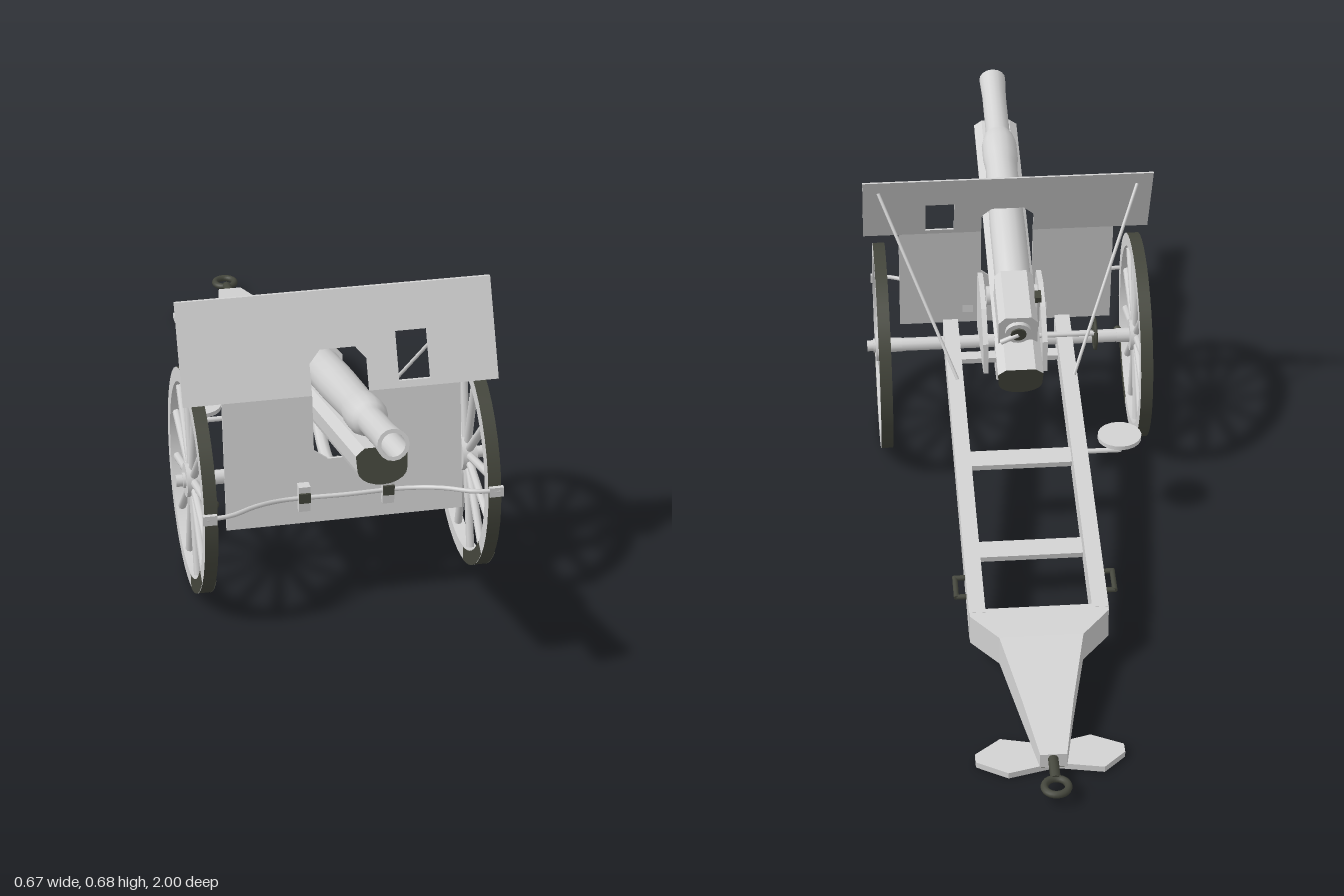
import * as THREE from 'three';

export function createModel() {
  const model = new THREE.Group();
  const grey = new THREE.MeshStandardMaterial({ color: 0xd2d2d2, side: THREE.DoubleSide });
  grey.name = 'light grey paint';
  const dark = new THREE.MeshStandardMaterial({ color: 0x44463c, side: THREE.DoubleSide });
  dark.name = 'dark olive';

  const add = (name, geo, mat = grey, parent = model, pos = [0, 0, 0]) => {
    const m = new THREE.Mesh(geo, mat);
    m.name = name;
    m.position.set(...pos);
    parent.add(m);
    return m;
  };
  const box = (name, size, pos, mat, parent) => add(name, new THREE.BoxGeometry(...size), mat, parent, pos);
  const V = p => new THREE.Vector3(...p);
  // Straight round bar between two points
  const bar = (name, a, b, r, mat, parent, sides = 10) => {
    const d = V(b).sub(V(a));
    const m = add(name, new THREE.CylinderGeometry(r, r, d.length(), sides), mat, parent);
    m.position.copy(V(a)).addScaledVector(d, 0.5);
    m.quaternion.setFromUnitVectors(new THREE.Vector3(0, 1, 0), d.normalize());
    return m;
  };
  const shapeOf = pts => new THREE.Shape(pts.map(p => new THREE.Vector2(...p)));
  const extrude = (shape, depth) => new THREE.ExtrudeGeometry(shape, { depth, bevelEnabled: false });
  // Rectangular sections [z, x0, x1, y0, y1], listed front to back
  const loft = secs => {
    const pos = [];
    const rings = secs.map(([z, x0, x1, y0, y1]) => [[x0, y0, z], [x1, y0, z], [x1, y1, z], [x0, y1, z]]);
    const quad = (a, b, c, d) => pos.push(...a, ...b, ...c, ...a, ...c, ...d);
    quad(...rings[0]);
    for (let i = 0; i < rings.length - 1; i++)
      for (let k = 0; k < 4; k++) {
        const n = (k + 1) % 4;
        quad(rings[i][k], rings[i + 1][k], rings[i + 1][n], rings[i][n]);
      }
    quad(...rings[rings.length - 1].slice().reverse());
    const g = new THREE.BufferGeometry();
    g.setAttribute('position', new THREE.Float32BufferAttribute(pos, 3));
    g.computeVertexNormals();
    return g;
  };

  // Spoked wheels, built round local z and turned on to the axle
  const axleZ = 0.392;
  for (const s of [-1, 1]) {
    const wheel = new THREE.Group();
    wheel.name = s > 0 ? 'leftWheel' : 'rightWheel';
    wheel.position.set(s * 0.301, 0.243, axleZ);
    wheel.rotation.y = Math.PI / 2;
    model.add(wheel);
    const R = 0.243, Ri = 0.212, w = 0.014;
    for (const z of [-w, w]) {
      add('rimSide', new THREE.RingGeometry(Ri, R, 40), grey, wheel, [0, 0, z]);
      add('rimPatch', new THREE.RingGeometry(Ri, R, 8, 1, 3.73, 0.75), dark, wheel, [0, 0, z * 1.08]);
    }
    add('tread', new THREE.CylinderGeometry(R, R, 2 * w, 40, 1, true), dark, wheel).rotation.x = Math.PI / 2;
    add('rimInside', new THREE.CylinderGeometry(Ri, Ri, 2 * w, 40, 1, true), grey, wheel).rotation.x = Math.PI / 2;
    for (let i = 0; i < 12; i++) {
      const a = (i + 0.5) * Math.PI / 6, c = Math.cos(a), n = Math.sin(a);
      bar('spoke', [c * 0.03, n * 0.03, 0], [c * 0.214, n * 0.214, 0], 0.009, grey, wheel, 8);
    }
    bar('hub', [0, 0, -0.016], [0, 0, 0.016], 0.037, grey, wheel, 20);
    bar('hubSleeve', [0, 0, -0.046 * s], [0, 0, 0.022 * s], 0.017, grey, wheel, 14);
    bar('hubCap', [0, 0, s * 0.02], [0, 0, s * 0.036], 0.013, grey, wheel, 14);
  }
  bar('axle', [-0.28, 0.243, axleZ], [0.28, 0.243, axleZ], 0.016);
  add('axleLamp', new THREE.SphereGeometry(0.01, 10, 8), dark, model, [-0.265, 0.215, 0.46]);

  // Shield: two bent plates, sheared backwards by height
  const plate = (name, shape) => {
    const g = extrude(shape, 0.006), p = g.attributes.position;
    for (let i = 0; i < p.count; i++) {
      const y = p.getY(i);
      p.setZ(i, p.getZ(i) + 0.5 - (y - 0.48) * (y > 0.48 ? 0.49 : 0.16));
    }
    g.computeVertexNormals();
    add(name, g);
  };
  const upper = shapeOf([[-0.336, 0.48], [-0.064, 0.48], [-0.064, 0.54], [-0.04, 0.565], [0.035, 0.565],
    [0.058, 0.54], [0.058, 0.48], [0.336, 0.48], [0.336, 0.675], [-0.336, 0.675]]);
  upper.holes.push(new THREE.Path([[0.123, 0.493], [0.123, 0.587], [0.19, 0.587], [0.19, 0.493]]
    .map(p => new THREE.Vector2(...p))));
  plate('upperShield', upper);
  plate('lowerShield', shapeOf([[-0.255, 0.203], [0.253, 0.203], [0.253, 0.48], [0.058, 0.48], [0.058, 0.36],
    [0.035, 0.34], [-0.035, 0.34], [-0.064, 0.36], [-0.064, 0.48], [-0.255, 0.48]]));
  for (const s of [-1, 1]) {
    bar('shieldStay', [s * 0.3, 0.64, 0.42], [s * 0.135, 0.27, 0.19], 0.004);
    // Brake clamps and shoes
    box('barClamp', [0.025, 0.058, 0.022], [s * 0.09, 0.264, 0.547]);
    box('clampPad', [0.024, 0.022, 0.006], [s * 0.09, 0.268, 0.56], dark);
    box('brakeShoe', [0.03, 0.022, 0.01], [s * 0.304, 0.282, 0.633]);
  }
  const brakePath = [[-0.312, 0.284, 0.634], [-0.26, 0.284, 0.628], [-0.2, 0.278, 0.59], [-0.13, 0.266, 0.555],
    [0, 0.265, 0.555], [0.13, 0.266, 0.555], [0.2, 0.278, 0.59], [0.26, 0.284, 0.628], [0.312, 0.284, 0.634]];
  add('brakeBar', new THREE.TubeGeometry(new THREE.CatmullRomCurve3(brakePath.map(V)), 32, 0.005, 8));

  // Trail: two rails, cross bars and a tapering tail
  for (const s of [-1, 1]) {
    const c = 0.004 + s * 0.133;
    add('trailRail', loft([[0.44, c - 0.018, c + 0.018, 0.215, 0.277], [0.1, c - 0.018, c + 0.018, 0.16, 0.222],
      [-0.5, c - 0.018, c + 0.018, 0.058, 0.125]]));
    // Lifting handles
    const x = 0.004 + s * 0.15, e = 0.004 + s * 0.173;
    bar('liftHandleGrip', [e, 0.114, -0.357], [e, 0.104, -0.418], 0.006, dark);
    bar('liftHandleFront', [x, 0.114, -0.36], [e, 0.114, -0.36], 0.006, dark);
    bar('liftHandleBack', [x, 0.104, -0.415], [e, 0.104, -0.415], 0.006, dark);
  }
  for (const [z, y, d] of [[-0.27, 0.115, 0.048], [0, 0.172, 0.048], [0.35, 0.225, 0.026]])
    box('crossBar', [0.25, 0.014, d], [0.004, y, z]).rotation.x = -0.167;
  add('trailTail', loft([[-0.49, -0.146, 0.154, 0.055, 0.126], [-0.51, -0.146, 0.154, 0.052, 0.123],
    [-0.575, -0.085, 0.095, 0.042, 0.112], [-0.75, -0.048, 0.06, 0.022, 0.08], [-0.89, -0.022, 0.034, 0.016, 0.05]]));
  add('tailUnderside', loft([[-0.585, -0.08, 0.09, 0.036, 0.041], [-0.75, -0.046, 0.058, 0.017, 0.022],
    [-0.885, -0.02, 0.032, 0.011, 0.016]]), dark);
  bar('ringShank', [0.007, 0.042, -0.86], [0.007, 0.031, -0.945], 0.011, dark);
  add('towingRing', new THREE.TorusGeometry(0.025, 0.008, 10, 24), dark, model, [0.007, 0.03, -0.967])
    .rotation.x = Math.PI / 2;

  // Spade plate under the tail
  const spade = extrude(shapeOf([[-0.147, 0.85], [-0.1, 0.895], [0, 0.875], [0.1, 0.9], [0.165, 0.86],
    [0.165, 0.835], [0.11, 0.79], [0.01, 0.815], [-0.08, 0.79], [-0.147, 0.825]]), 0.014);
  spade.rotateX(-Math.PI / 2);
  add('spade', spade);

  // Gunner's seat
  const sx = -0.223, sz = 0.014;
  bar('seatPad', [sx, 0.208, sz], [sx, 0.218, sz], 0.05, grey, model, 20);
  bar('seatPost', [sx, 0.172, sz], [sx, 0.21, sz], 0.006);
  bar('seatArm', [sx, 0.175, sz], [-0.12, 0.175, sz], 0.006);

  // Upper carriage cheeks and elevating gear
  const cheek = extrude(shapeOf([[-0.24, 0.25], [-0.24, 0.33], [-0.3, 0.39], [-0.37, 0.415], [-0.43, 0.41],
    [-0.46, 0.36], [-0.46, 0.24]]), 0.012);
  cheek.rotateY(Math.PI / 2);
  for (const x of [-0.078, 0.06]) add('carriageCheek', cheek, grey, model, [x, 0, 0]);
  box('pivotBracket', [0.07, 0.06, 0.06], [0, 0.195, 0.37]);
  box('pivotFace', [0.05, 0.026, 0.006], [0, 0.185, 0.402], dark);
  add('elevatingArc', new THREE.TorusGeometry(0.14, 0.014, 8, 20, 1.9), grey, model, [0, 0.38, 0.36])
    .rotation.set(0, Math.PI / 2, Math.PI + 0.6, 'YXZ');
  bar('handwheelShaft', [-0.195, 0.33, 0.27], [-0.06, 0.33, 0.27], 0.006);
  add('handwheel', new THREE.TorusGeometry(0.036, 0.004, 8, 20), dark, model, [-0.19, 0.33, 0.27])
    .rotation.y = Math.PI / 2;
  for (let i = 0; i < 2; i++)
    box('handwheelSpoke', [0.005, i ? 0.072 : 0.006, i ? 0.006 : 0.072], [-0.19, 0.33, 0.27], dark);

  // Elevated gun, laid along local z
  const gun = new THREE.Group();
  gun.name = 'gun';
  gun.position.set(-0.004, 0.361, 0);
  gun.rotation.x = -0.258;
  model.add(gun);
  const barrel = new THREE.LatheGeometry([[0.02, 0.3], [0.042, 0.3], [0.042, 0.5], [0.038, 0.71], [0.042, 0.74],
    [0.042, 0.79], [0.036, 0.815], [0.029, 0.83], [0.029, 0.96], [0.032, 1.026], [0.032, 1.026], [0.024, 1.026],
    [0.024, 1.026], [0.022, 0.7]].map(p => new THREE.Vector2(...p)), 16);
  barrel.rotateX(Math.PI / 2);
  add('barrel', barrel, grey, gun);
  add('boreEnd', new THREE.CircleGeometry(0.023, 16), dark, gun, [0, 0, 0.72]);
  // Cradle with a rounded belly
  const cradlePts = [[0.052, -0.047], [0.034, -0.032], [-0.034, -0.032], [-0.052, -0.047]];
  for (let i = 0; i <= 10; i++) {
    const a = Math.PI * (1 + i / 10);
    cradlePts.push([0.05 * Math.cos(a), -0.078 + 0.03 * Math.sin(a)]);
  }
  add('cradle', extrude(shapeOf(cradlePts), 0.825), [dark, grey], gun, [0, 0, 0.088]);
  // Breech block, screw and sight
  const breech = extrude(shapeOf([[-0.045, -0.04], [0.045, -0.04], [0.045, 0.025], [0.03, 0.042],
    [-0.03, 0.042], [-0.045, 0.025]]), 0.15);
  add('breechBlock', breech, grey, gun, [0, 0, 0.18]);
  bar('breechScrew', [0, 0, 0.17], [0, 0, 0.19], 0.03, grey, gun, 16);
  bar('breechCore', [0, 0, 0.166], [0, 0, 0.18], 0.018, dark, gun, 16);
  bar('breechLever', [0, 0, 0.168], [0.04, -0.02, 0.165], 0.006, grey, gun);
  bar('trunnions', [-0.06, -0.07, 0.36], [0.06, -0.07, 0.36], 0.022, grey, gun, 16);
  bar('sightPost', [-0.048, -0.04, 0.23], [-0.048, 0.055, 0.23], 0.005, grey, gun);
  box('sightHead', [0.014, 0.016, 0.024], [-0.048, 0.058, 0.23], dark, gun);
  return model;
}
